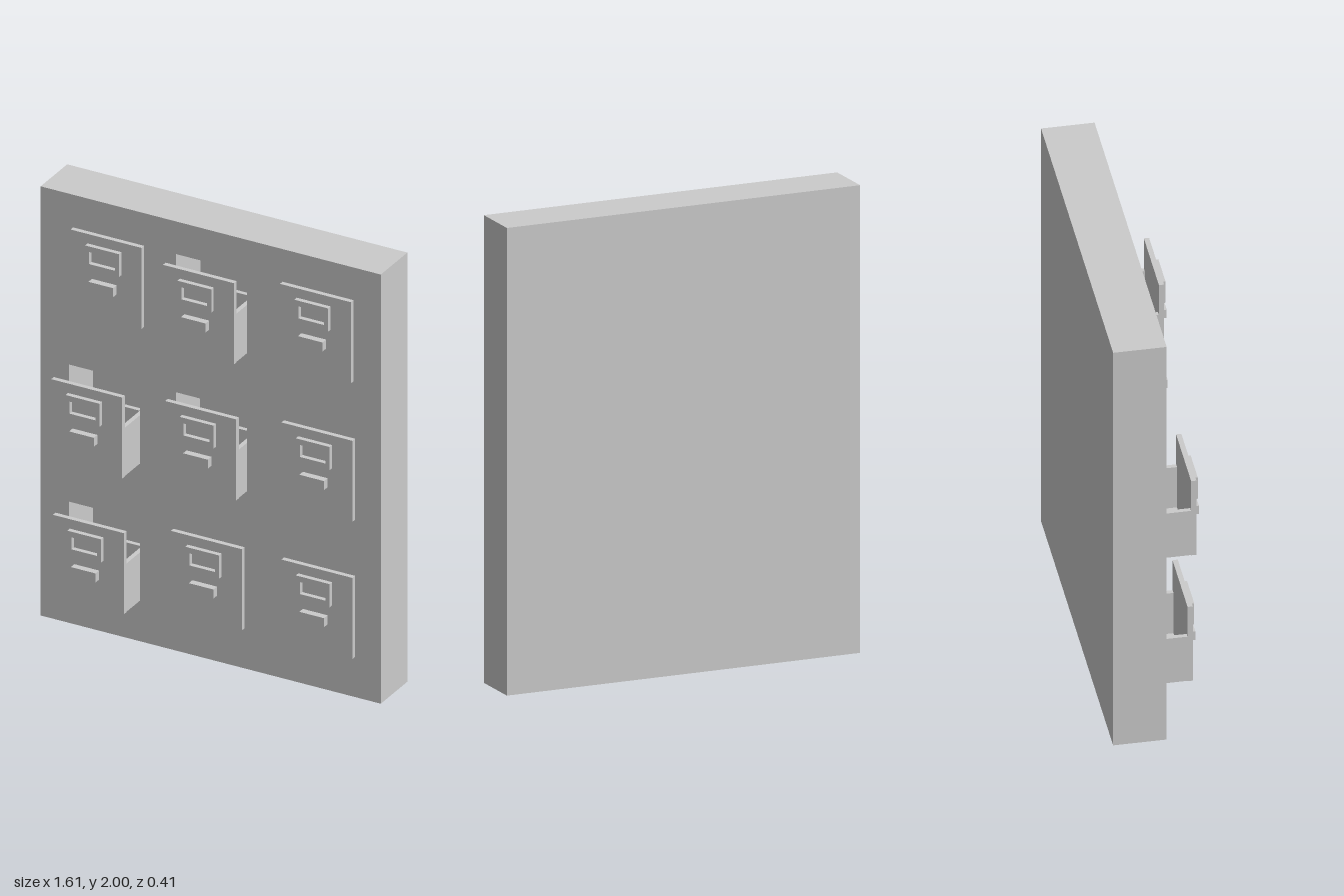
import * as THREE from 'three';

const W = 0.336, H = 0.378, WALL = 0.02;   // drawer size and board thickness
const FACE = 0.025, BACK = -0.2;           // cabinet front and rear planes

// centre x, bottom y, how far the drawer is pulled out
const DRAWERS = [
  [-0.483, 1.47, 0], [0.004, 1.47, 0.088], [0.508, 1.47, 0],
  [-0.503, 0.826, 0.128], [0.003, 0.826, 0.068], [0.515, 0.826, 0],
  [-0.503, 0.187, 0.113], [-0.008, 0.187, 0], [0.515, 0.187, 0],
];

const material = new THREE.MeshStandardMaterial({ color: 0xcccccc, flatShading: true });

function add(parent, name, geometry, x = 0, y = 0, z = 0) {
  const mesh = new THREE.Mesh(geometry, material);
  mesh.name = name;
  mesh.position.set(x, y, z);
  parent.add(mesh);
  return mesh;
}

const box = (w, h, d) => new THREE.BoxGeometry(w, h, d);

function rectangle(PathType, cx, cy, w, h) {
  return new PathType([[-1, -1], [1, -1], [1, 1], [-1, 1]].map(
    ([i, j]) => new THREE.Vector2(cx + i * w / 2, cy + j * h / 2)));
}

const extrude = (shape, depth) => new THREE.ExtrudeGeometry(shape, { depth, bevelEnabled: false });

// Open-topped tray with a tall front, label frame and pull; z = 0 is the rear of the front panel
function createDrawer() {
  const drawer = new THREE.Group();
  drawer.name = 'drawer';
  const trayH = 0.225, trayD = 0.185, trayW = W - 0.002;

  add(drawer, 'drawerFront', box(W, H, 0.022), 0, H / 2, 0.011);
  add(drawer, 'drawerFloor', box(trayW, WALL, trayD), 0, WALL / 2 + 0.001, -trayD / 2);
  for (const s of [-1, 1]) {
    add(drawer, 'drawerSide', box(WALL, trayH, trayD), s * (trayW - WALL) / 2, trayH / 2 + 0.001, -trayD / 2);
  }
  add(drawer, 'drawerBack', box(trayW - 2 * WALL, trayH, WALL), 0, trayH / 2 + 0.001, -trayD + WALL / 2);

  // Label holder and pull sit a touch off centre
  const frame = rectangle(THREE.Shape, 0, 0, 0.16, 0.108);
  frame.holes.push(rectangle(THREE.Path, 0, 0, 0.122, 0.056));
  add(drawer, 'labelFrame', extrude(frame, 0.021), -0.008, 0.28, 0.022);
  add(drawer, 'drawerPull', box(0.117, 0.042, 0.03), -0.008, 0.153, 0.037);
  return drawer;
}

export function createModel() {
  const model = new THREE.Group();
  model.name = 'drawerCabinet';

  // Carcass with one opening per drawer, closed by a rear panel
  const carcass = rectangle(THREE.Shape, 0, 1, 1.61, 2);
  for (const [x, y] of DRAWERS) {
    carcass.holes.push(rectangle(THREE.Path, x, y + H / 2, W, H));
  }
  add(model, 'carcass', extrude(carcass, FACE - BACK - 0.02), 0, 0, BACK + 0.02);
  add(model, 'backPanel', box(1.61, 2, 0.02), 0, 1, BACK + 0.01);

  for (const [x, y, pull] of DRAWERS) {
    const drawer = createDrawer();
    drawer.position.set(x, y, FACE + pull);
    model.add(drawer);
  }
  return model;
}
